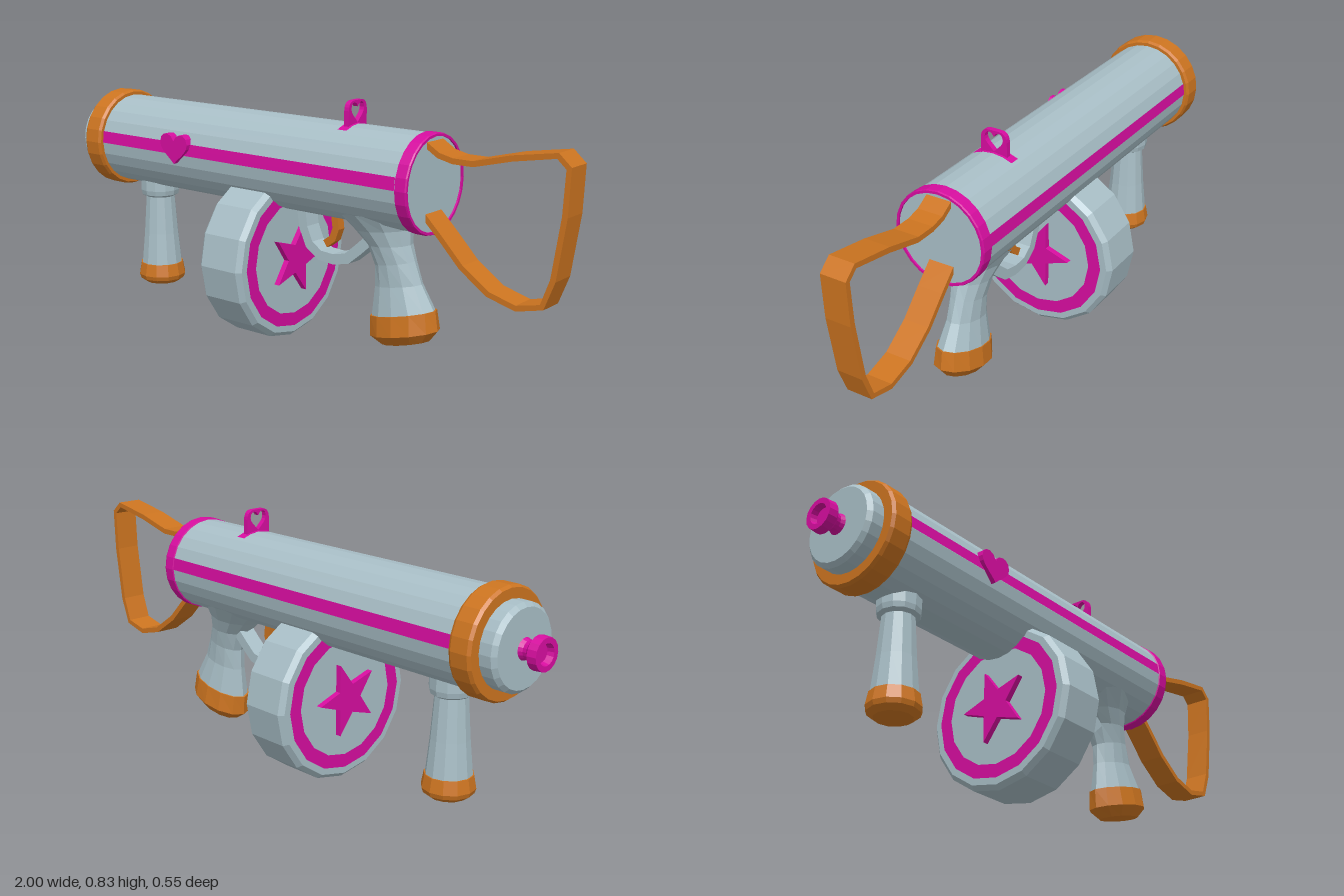
import * as THREE from 'three';

const AXIS_Y = 0.605; // height of the barrel axis
const R = 0.155; // barrel radius
const rad = THREE.MathUtils.degToRad;

// Facet every polygon
function flat(geo) {
  const g = geo.index ? geo.toNonIndexed() : geo;
  g.computeVertexNormals();
  return g;
}

// Turned part from [radius, height] pairs
const turned = (profile, sides) =>
  flat(new THREE.LatheGeometry(profile.map(([r, y]) => new THREE.Vector2(r, y)), sides));

// Turned part lying along x
const turnedX = (profile, sides) => turned(profile, sides).rotateZ(-Math.PI / 2);

// Curved plate wrapped on the barrel
function wrap(radius, length, startDeg, sweepDeg, segments) {
  const g = new THREE.CylinderGeometry(radius, radius, length, segments, 1, true, rad(startDeg), rad(sweepDeg));
  return flat(g.rotateZ(-Math.PI / 2));
}

// Flat band following a centreline in the xy plane, extruded across z
function ribbon(points, thickness, width) {
  const p = points.map(([x, y]) => new THREE.Vector2(x, y));
  const sideA = [], sideB = [];
  p.forEach((v, i) => {
    const before = v.clone().sub(p[Math.max(i - 1, 0)]).normalize();
    const after = p[Math.min(i + 1, p.length - 1)].clone().sub(v).normalize();
    const t = before.add(after).normalize();
    const n = new THREE.Vector2(-t.y, t.x).multiplyScalar(thickness / 2);
    sideA.push(v.clone().add(n));
    sideB.unshift(v.clone().sub(n));
  });
  const shape = new THREE.Shape([...sideA, ...sideB]);
  return new THREE.ExtrudeGeometry(shape, { depth: width, bevelEnabled: false }).translate(0, 0, -width / 2);
}

// Skin over elliptical sections [xLeft, yLeft, xRight, yRight, halfDepth], top to bottom
function loft(sections, sides) {
  const pos = [], idx = [];
  sections.forEach(([xl, yl, xr, yr, hz], s) => {
    for (let i = 0; i < sides; i++) {
      const a = (i / sides) * Math.PI * 2, c = Math.cos(a) / 2;
      pos.push((xl + xr) / 2 + (xr - xl) * c, (yl + yr) / 2 + (yr - yl) * c, hz * Math.sin(a));
      if (s === sections.length - 1) continue;
      const j = (i + 1) % sides, p = s * sides + i, q = s * sides + j;
      idx.push(p, q, p + sides, q, q + sides, p + sides);
    }
  });
  const g = new THREE.BufferGeometry();
  g.setAttribute('position', new THREE.Float32BufferAttribute(pos, 3));
  g.setIndex(idx);
  return flat(g);
}

// Heart outline with its bottom tip at (0, y0)
function drawHeart(path, w, h, y0) {
  const k = w / 2;
  path.moveTo(0, y0);
  path.bezierCurveTo(k * 0.4, y0 + h * 0.25, k, y0 + h * 0.42, k, y0 + h * 0.7);
  path.bezierCurveTo(k, y0 + h * 1.08, k * 0.25, y0 + h * 1.12, 0, y0 + h * 0.78);
  path.bezierCurveTo(-k * 0.25, y0 + h * 1.12, -k, y0 + h * 1.08, -k, y0 + h * 0.7);
  path.bezierCurveTo(-k, y0 + h * 0.42, -k * 0.4, y0 + h * 0.25, 0, y0);
  return path;
}

export function createModel() {
  const grey = new THREE.MeshStandardMaterial({ color: 0xa8bec6 });
  grey.name = 'blue grey';
  const pink = new THREE.MeshStandardMaterial({ color: 0xd60d9f });
  pink.name = 'magenta';
  const orange = new THREE.MeshStandardMaterial({ color: 0xcc7420 });
  orange.name = 'orange';

  const model = new THREE.Group();
  model.name = 'toyLauncher';
  const add = (name, geo, mat, x = 0, y = 0, z = 0) => {
    const m = new THREE.Mesh(geo, mat);
    m.name = name;
    m.position.set(x, y, z);
    model.add(m);
    return m;
  };

  // Barrel, end bands and muzzle
  add('barrel', turnedX([[0, -0.865], [R, -0.865], [R, 0.519], [0, 0.519]], 24), grey, 0, AXIS_Y);
  add('frontBand', turnedX([[0.13, -0.87], [0.165, -0.87], [0.172, -0.86], [0.172, -0.8],
    [0.166, -0.79], [0.15, -0.79]], 24), orange, 0, AXIS_Y);
  add('rearBand', turnedX([[0.152, 0.48], [0.159, 0.483], [0.159, 0.52], [0.157, 0.525],
    [0.149, 0.525], [0.149, 0.515]], 24), pink, 0, AXIS_Y);
  add('frontCap', turnedX([[0, -0.925], [0.12, -0.925], [0.133, -0.912], [0.133, -0.86]], 24), grey, 0, AXIS_Y);
  add('muzzle', turnedX([[0, -0.98], [0.028, -0.98], [0.033, -1], [0.05, -1], [0.052, -0.97],
    [0.03, -0.952], [0.028, -0.938], [0.036, -0.92]], 16), pink, 0, AXIS_Y);

  // Painted stripe on each side
  for (const [name, start] of [['frontStripe', -15], ['backStripe', 180]])
    add(name, wrap(R + 0.0015, 1.27, start, 15, 1), pink, -0.155, AXIS_Y);

  // Heart badge
  add('heartBadge', new THREE.ExtrudeGeometry(drawHeart(new THREE.Shape(), 0.125, 0.1, 0),
    { depth: 0.035, bevelEnabled: false, curveSegments: 5 }), pink, -0.425, 0.575, 0.133);

  // Sight with a heart cut-out on a curved foot
  const plate = new THREE.Shape();
  plate.moveTo(-0.047, 0.745);
  plate.lineTo(0.047, 0.745);
  plate.lineTo(0.047, 0.805);
  plate.quadraticCurveTo(0.045, 0.836, 0.018, 0.836);
  plate.lineTo(-0.018, 0.836);
  plate.quadraticCurveTo(-0.045, 0.836, -0.047, 0.805);
  plate.holes.push(drawHeart(new THREE.Path(), 0.066, 0.063, 0.766));
  add('sight', new THREE.ExtrudeGeometry(plate, { depth: 0.018, bevelEnabled: false, curveSegments: 5 })
    .rotateY(Math.PI / 2), pink, 0.209);
  add('sightFoot', wrap(0.159, 0.036, 244, 52, 4), pink, 0.218, AXIS_Y);

  // Drum with a painted ring and a star on both faces
  const drumX = -0.125, drumY = 0.28;
  add('drum', turnedX([[0, -0.09], [0.262, -0.09], [0.277, -0.074], [0.277, 0.074],
    [0.262, 0.09], [0, 0.09]], 16), grey, drumX, drumY);
  const starPoints = [];
  for (let i = 0; i < 10; i++) {
    const r = i % 2 ? 0.05 : 0.125, a = (i * Math.PI) / 5;
    starPoints.push(new THREE.Vector2(r * Math.cos(a), r * Math.sin(a)));
  }
  const star = new THREE.ExtrudeGeometry(new THREE.Shape(starPoints), { depth: 0.024, bevelEnabled: false })
    .translate(0, 0, -0.012).rotateY(Math.PI / 2);
  for (const [side, s] of [['left', 1], ['right', -1]]) {
    add(side + 'DrumRing', new THREE.RingGeometry(0.195, 0.24, 16).rotateY((s * Math.PI) / 2),
      pink, drumX + s * 0.092, drumY);
    add(side + 'DrumStar', star, pink, drumX + s * 0.098, drumY);
  }

  // Front grip
  add('frontGrip', turned([[0.05, 0.15], [0.074, 0.15], [0.062, 0.27], [0.052, 0.405], [0.066, 0.413],
    [0.07, 0.43], [0.07, 0.49]], 12), grey, -0.665);
  add('frontGripCap', turned([[0, 0.083], [0.06, 0.085], [0.08, 0.1], [0.085, 0.115],
    [0.077, 0.158], [0.05, 0.158]], 12), orange, -0.665);

  // Rear grip blending into the barrel
  add('rearGrip', loft([[0.16, 0.49, 0.45, 0.5, 0.115], [0.235, 0.43, 0.435, 0.45, 0.08],
    [0.285, 0.385, 0.437, 0.4, 0.062], [0.31, 0.32, 0.455, 0.35, 0.051],
    [0.309, 0.25, 0.482, 0.28, 0.049], [0.3, 0.15, 0.53, 0.2, 0.066]], 12), grey);
  add('rearGripCap', loft([[0.4, 0.175, 0.43, 0.182, 0.01], [0.294, 0.15, 0.535, 0.204, 0.069],
    [0.298, 0.085, 0.545, 0.14, 0.078], [0.34, 0.06, 0.515, 0.102, 0.05],
    [0.425, 0.078, 0.425, 0.078, 0]], 12), orange);

  // Trigger and guard
  add('triggerGuard', ribbon([[0.02, 0.47], [0.03, 0.4], [0.055, 0.345], [0.1, 0.315], [0.155, 0.311],
    [0.21, 0.323], [0.255, 0.36], [0.3, 0.4]], 0.035, 0.06), grey);
  add('trigger', ribbon([[0.145, 0.47], [0.153, 0.41], [0.14, 0.375], [0.11, 0.353]], 0.026, 0.03), orange);

  // Shoulder strap
  add('strap', ribbon([[0.51, 0.735], [0.56, 0.705], [0.61, 0.694], [0.68, 0.694], [0.81, 0.727],
    [0.955, 0.752], [0.991, 0.72], [0.985, 0.58], [0.957, 0.39], [0.925, 0.305], [0.84, 0.285],
    [0.745, 0.31], [0.65, 0.375], [0.575, 0.452], [0.51, 0.515]], 0.018, 0.087), orange);

  return model;
}
